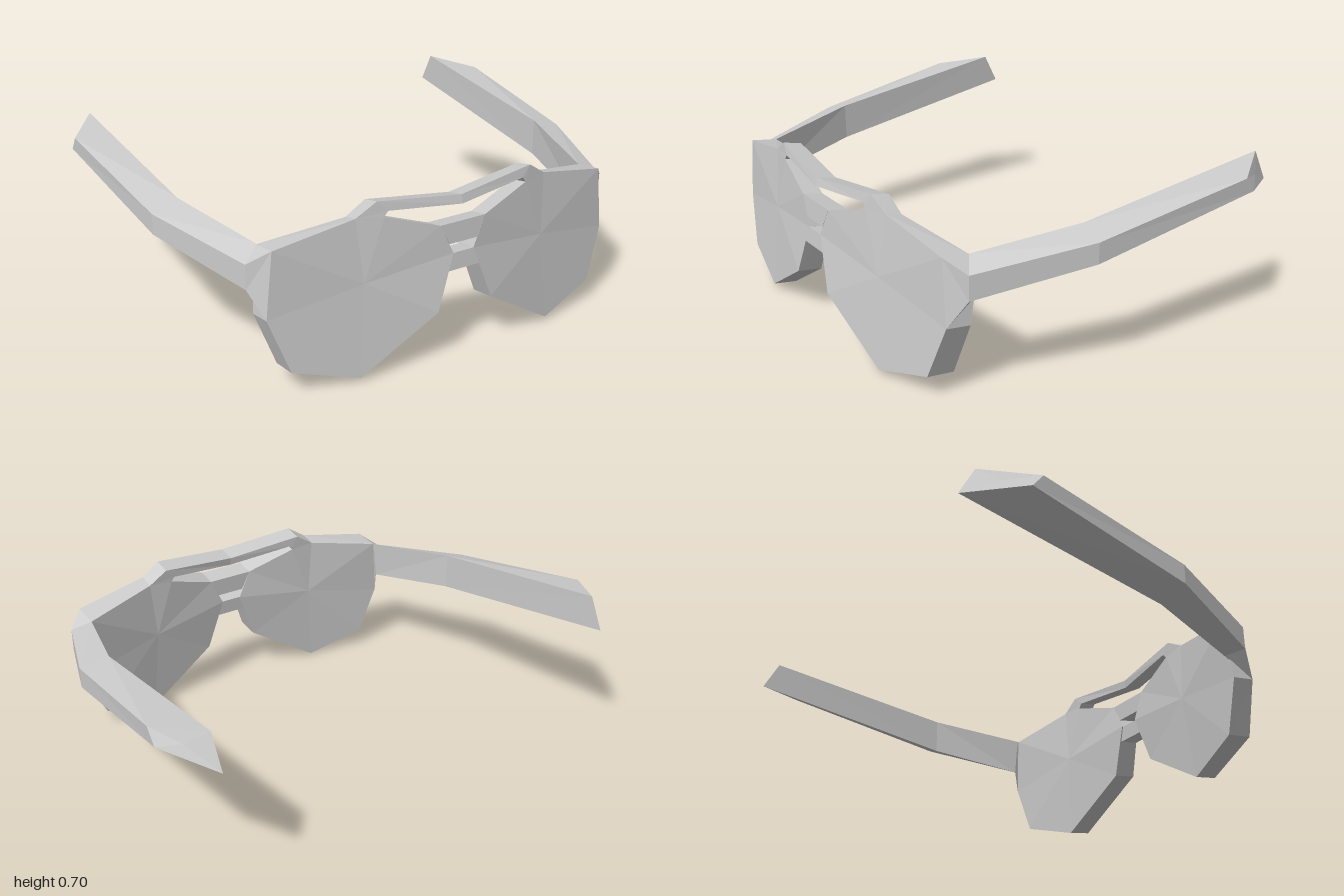
import * as THREE from 'three';

const material = new THREE.MeshStandardMaterial({ color: 0xcccccc, flatShading: true });
const flip = ([x, y, z]) => [-x, y, z];

// Closed solid through rings of equal point count, capped by fans at both ends.
function loft(name, rings) {
  const n = rings[0].length;
  const points = rings.flat();
  const index = [];
  for (let r = 0; r < rings.length - 1; r++) {
    for (let i = 0; i < n; i++) {
      const j = (i + 1) % n;
      const a = r * n + i, b = r * n + j, c = a + n, d = b + n;
      index.push(a, b, d, a, d, c);
    }
  }
  for (const r of [0, rings.length - 1]) {
    const center = [0, 1, 2].map(k => rings[r].reduce((s, p) => s + p[k], 0) / n);
    const c = points.push(center) - 1;
    for (let i = 0; i < n; i++) {
      const a = r * n + i, b = r * n + (i + 1) % n;
      if (r === 0) index.push(c, b, a); else index.push(c, a, b);
    }
  }
  // Signed volume decides whether the faces must be turned outward.
  const v = points.map(p => new THREE.Vector3(...p));
  let volume = 0;
  for (let i = 0; i < index.length; i += 3) {
    volume += v[index[i]].dot(v[index[i + 1]].clone().cross(v[index[i + 2]]));
  }
  if (volume < 0) index.reverse();
  const indexed = new THREE.BufferGeometry().setFromPoints(v);
  indexed.setIndex(index);
  const geometry = indexed.toNonIndexed();
  geometry.computeVertexNormals();
  const mesh = new THREE.Mesh(geometry, material);
  mesh.name = name;
  return mesh;
}

// Lens front outline: x, y, z, depth to the back face.
const lensOutline = [
  [0.42, 0.615, 0.67, 0.065], [0.73, 0.56, 0.645, 0.11],
  [0.76, 0.31, 0.65, 0.1], [0.685, 0.1, 0.68, 0.11],
  [0.43, 0.02, 0.725, 0.1], [0.12, 0.21, 0.757, 0.1],
  [0.045, 0.42, 0.735, 0.09], [0.1, 0.535, 0.725, 0.08],
  [0.315, 0.605, 0.69, 0.08],
];
const lensRings = [
  lensOutline.map(([x, y, z]) => [x, y, z]),
  lensOutline.map(([x, y, z, d]) => [x, y - 0.016, z - d]),
];

// Temple rings: outer top, outer bottom, inner bottom, inner top.
const templeRings = [
  [[0.73, 0.56, 0.645], [0.76, 0.31, 0.65], [0.76, 0.295, 0.55], [0.73, 0.544, 0.535]],
  [[0.8, 0.505, 0.585], [0.8, 0.41, 0.585], [0.745, 0.385, 0.525], [0.73, 0.545, 0.53]],
  [[0.95, 0.567, 0.155], [0.95, 0.486, 0.155], [0.84, 0.445, 0.13], [0.84, 0.597, 0.13]],
  [[1, 0.668, -0.5], [1, 0.61, -0.545], [0.87, 0.575, -0.755], [0.87, 0.7, -0.69]],
];

// Brow bar rings: top front, top back, bottom back, bottom front.
const browEnd = [[0.42, 0.615, 0.67], [0.42, 0.599, 0.605], [0.315, 0.589, 0.61], [0.315, 0.605, 0.69]];
const browBend = [[0.34, 0.665, 0.68], [0.34, 0.648, 0.605], [0.3, 0.608, 0.61], [0.3, 0.625, 0.69]];
const browMiddle = [[0, 0.63, 0.712], [0, 0.613, 0.635], [0, 0.58, 0.64], [0, 0.597, 0.72]];

// Nose bridge bars, in the same point order.
const upperBridge = [[0.1, 0.535, 0.725], [0.1, 0.519, 0.645], [0.061, 0.442, 0.648], [0.061, 0.457, 0.732]];
const lowerBridge = [[0.045, 0.42, 0.735], [0.045, 0.404, 0.65], [0.07, 0.34, 0.655], [0.07, 0.355, 0.742]];

export function createModel() {
  const model = new THREE.Group();
  model.name = 'sunglasses';

  for (const [side, map] of [['left', p => p], ['right', flip]]) {
    model.add(loft(side + 'Lens', lensRings.map(r => r.map(map))));
    model.add(loft(side + 'Temple', templeRings.map(r => r.map(map))));
  }

  model.add(loft('browBar', [
    browEnd, browBend, browMiddle, browBend.map(flip), browEnd.map(flip),
  ]));
  model.add(loft('upperBridge', [upperBridge, upperBridge.map(flip)]));
  model.add(loft('lowerBridge', [lowerBridge, lowerBridge.map(flip)]));
  return model;
}
